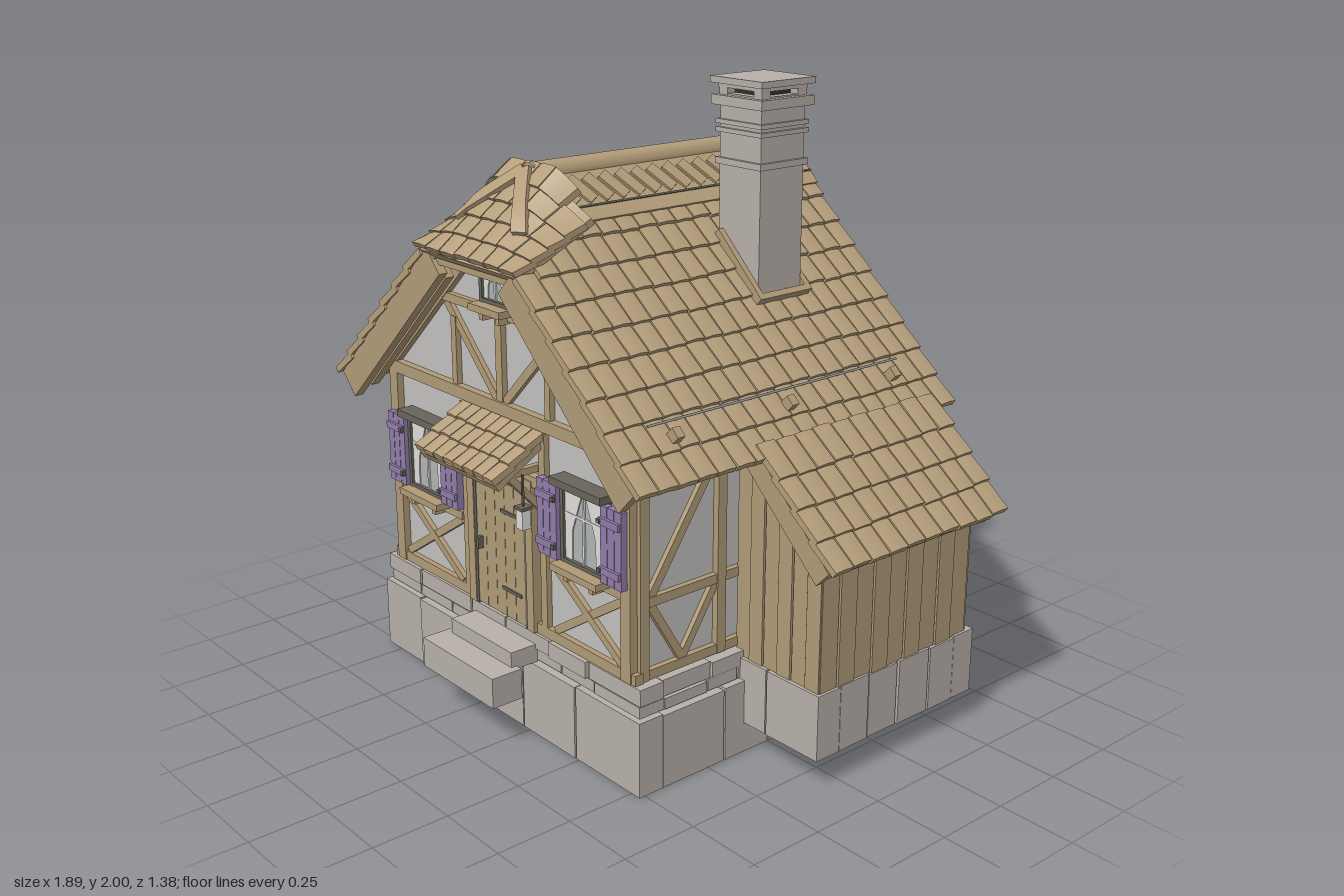
import * as THREE from 'three';
import { mergeGeometries } from 'three/addons/utils/BufferGeometryUtils.js';

const mat = (name, color) => Object.assign(new THREE.MeshStandardMaterial({ color }), { name });
const M = {
  stone: mat('stone', 0xb7b0aa), plaster: mat('plaster', 0xc2c0be), wood: mat('timber', 0xb09a77),
  tile: mat('roofTile', 0xb59e7b), purple: mat('shutterPaint', 0x917ca9), trim: mat('darkTrim', 0x67655a),
  glass: mat('glass', 0xb0b4b5), curtain: mat('curtain', 0xdedddb), dark: mat('shadowGap', 0x33302b),
  iron: mat('iron', 0x9a9a9a),
};
let seed = 7;
const rnd = () => (seed = (seed * 16807) % 2147483647) / 2147483647;
const CX = -0.145, RIDGE = 1.71, SLOPE = 0.955, PITCH = Math.atan(SLOPE), LEN = 1.065;

function add(parent, name, material, geo, x = 0, y = 0, z = 0) {
  const m = new THREE.Mesh(geo, material);
  m.name = name;
  m.position.set(x, y, z);
  parent.add(m);
  return m;
}
const box = (p, name, m, w, h, d, x, y, z) => add(p, name, m, new THREE.BoxGeometry(w, h, d), x, y, z);
// box given by its limits
const span = (p, name, m, x0, x1, y0, y1, z0, z1) =>
  box(p, name, m, x1 - x0, y1 - y0, z1 - z0, (x0 + x1) / 2, (y0 + y1) / 2, (z0 + z1) / 2);
function group(parent, name, x = 0, y = 0, z = 0, yaw = 0, pitch = 0) {
  const g = new THREE.Group();
  g.name = name;
  g.position.set(x, y, z);
  g.rotation.set(pitch, yaw, 0, 'YXZ');
  parent.add(g);
  return g;
}
const polygon = (pts, depth) => new THREE.ExtrudeGeometry(
  new THREE.Shape(pts.map(p => new THREE.Vector2(...p))), { depth, bevelEnabled: false });

// overlapping, crowned tiles on a plane: x across, z down the slope
function tileField(u0, u1, v0, v1, cols, rows, keep = () => true) {
  const w = (u1 - u0) / cols, p = (v1 - v0) / rows, l = p * 1.2, list = [];
  for (let r = 0; r < rows; r++) for (let c = 0; c < cols; c++) {
    const u = u0 + (c + 0.5) * w, v = v0 + (r + 1) * p - l / 2;
    if (!keep(u, v)) continue;
    const g = new THREE.BoxGeometry(w * 0.94, 0.022, l, 2, 1, 1), a = g.attributes.position;
    for (let i = 0; i < a.count; i++) if (Math.abs(a.getX(i)) < 0.001) a.setY(i, a.getY(i) + 0.004);
    g.rotateX(-0.09 - rnd() * 0.05);
    g.translate(u, 0.015, v + (rnd() - 0.5) * 0.006);
    g.computeVertexNormals();
    list.push(g);
  }
  return mergeGeometries(list);
}

// timber between two points of a wall
function strut(p, u1, y1, u2, y2, w = 0.032, name = 'timber', d = 0.03) {
  const m = box(p, name, M.wood, Math.hypot(u2 - u1, y2 - y1), w, d, (u1 + u2) / 2, (y1 + y2) / 2, 0.004);
  m.rotation.z = Math.atan2(y2 - y1, u2 - u1);
}
function curvedBrace(p, u1, y1, cu, cy, u2, y2) {
  const V = (x, y) => new THREE.Vector2(x, y);
  const pts = new THREE.QuadraticBezierCurve(V(u1, y1), V(cu, cy), V(u2, y2)).getPoints(5);
  for (let i = 0; i < 5; i++) strut(p, pts[i].x, pts[i].y, pts[i + 1].x, pts[i + 1].y, 0.028, 'curvedBrace', 0.024);
}
function cross(p, u0, u1, y0, y1) {
  strut(p, u0, y0, u1, y1, 0.026, 'crossBrace', 0.022);
  strut(p, u0, y1, u1, y0, 0.026, 'crossBrace', 0.026);
}

function windowUnit(p, u, y, w, h, shutters = true) {
  const g = group(p, 'window', u, y, 0.01);
  box(g, 'pane', M.glass, w, h, 0.02, 0, 0, 0);
  for (const s of [-1, 1]) {
    const c = [[s * w / 2, h / 2], [s * w / 2, -h / 2], [s * w * 0.3, -h / 2], [s * w * 0.28, -h * 0.05], [s * 0.006, h / 2]];
    add(g, 'curtain', M.curtain, polygon(c, 0.004), 0, 0, 0.01);
    box(g, 'sideFrame', M.trim, 0.014, h + 0.02, 0.035, s * w / 2, 0, 0.005);
    box(g, 'rail', M.trim, w, 0.012, 0.035, 0, s * h / 2, 0.005);
    box(g, 'sillBracket', M.wood, 0.02, 0.03, 0.04, s * w * 0.32, -h / 2 - 0.042, 0.02);
    if (!shutters) continue;
    const sh = group(g, 'shutter', s * (w / 2 + 0.056), 0, 0.024);
    for (let i = -1; i < 2; i++) box(sh, 'slat', M.purple, 0.03, h + 0.01, 0.024, i * 0.032, 0, 0);
    for (const k of [-1, 1]) {
      box(sh, 'batten', M.purple, 0.088, 0.022, 0.014, 0, k * h * 0.33, 0.015);
      box(sh, 'hinge', M.trim, 0.014, 0.012, 0.012, -s * 0.042, k * h * 0.33, 0.021);
    }
  }
  box(g, 'mullion', M.curtain, 0.008, h, 0.016, 0, 0, 0.008);
  box(g, 'glazingBar', M.curtain, w, 0.008, 0.016, 0, h * 0.15, 0.008);
  box(g, 'lintel', M.trim, w + 0.05, 0.024, 0.06, 0, h / 2 + 0.02, 0.02);
  box(g, 'sill', M.wood, w + 0.03, 0.022, 0.07, 0, -h / 2 - 0.018, 0.025);
}

// rectangular ring of stone blocks
function stoneRing(p, name, x0, x1, z0, z1, y0, y1, nx, nz, skipLeft = false) {
  const t = 0.1, list = [];
  const run = (a0, a1, n, make) => {
    const cuts = [a0];
    for (let i = 1; i < n; i++) cuts.push(a0 + (a1 - a0) * (i + (rnd() - 0.5) * 0.4) / n);
    cuts.push(a1);
    for (let i = 0; i < n; i++) make(cuts[i] + 0.003, cuts[i + 1] - 0.003, rnd() * 0.012, y1 - rnd() * 0.008);
  };
  const block = (a, b, c, d, top) => {
    const g = new THREE.BoxGeometry(b - a, top - y0, d - c);
    g.translate((a + b) / 2, (y0 + top) / 2, (c + d) / 2);
    list.push(g);
  };
  run(x0, x1, nx, (a, b, j, top) => block(a, b, z1 - t, z1 - j, top));
  run(x0, x1, nx, (a, b, j, top) => block(a, b, z0 + j, z0 + t, top));
  run(z0 + t, z1 - t, nz, (a, b, j, top) => block(x1 - t, x1 - j, a, b, top));
  if (!skipLeft) run(z0 + t, z1 - t, nz, (a, b, j, top) => block(x0 + j, x0 + t, a, b, top));
  add(p, name, M.stone, mergeGeometries(list));
}

function gableTimbers(g, c) {
  strut(g, c - 0.64, 1.03, c + 0.64, 1.03, 0.04, 'tieBeam', 0.045);
  strut(g, c - 0.64, 0.355, c + 0.64, 0.355, 0.035, 'soleBeam');
  strut(g, c - 0.34, 1.325, c + 0.34, 1.325, 0.028, 'collarBeam');
  strut(g, c, 1.04, c, 1.34, 0.032, 'kingPost');
  for (const s of [-1, 1]) {
    strut(g, c + s * 0.6, 0.34, c + s * 0.6, 1.02, 0.045, 'cornerPost', 0.04);
    strut(g, c + s * 0.63, 1.03, c + s * 0.1, 1.53, 0.045, 'rafter', 0.036);
    curvedBrace(g, c + s * 0.02, 1.05, c + s * 0.17, 1.2, c + s * 0.28, 1.31);
    strut(g, c + s * 0.24, 1.04, c + s * 0.24, 1.27, 0.026, 'gableStud');
  }
}

function roofSide(root, s) {
  // s = 1 slopes towards +x, s = -1 towards -x
  const g = group(root, s > 0 ? 'leftRoofSlope' : 'rightRoofSlope', CX, RIDGE, 0, s * Math.PI / 2, PITCH);
  const U = z => -s * z;
  const slab = polygon([[U(-0.68), 0], [U(-0.68), LEN - 0.02], [U(0.6), LEN - 0.02], [U(0.6), 0.308], [U(0.37), 0]], 0.04);
  slab.rotateX(Math.PI / 2);
  add(g, 'roofBoards', M.wood, slab);
  const ends = [U(-0.69), U(0.61)].sort((a, b) => a - b);
  const keep = (u, v) => v > 0.3 || U(u) < 0.35 + v * 0.75;
  add(g, 'roofTiles', M.tile, tileField(ends[0], ends[1], 0.14, LEN, 18, 9, keep));
  box(g, 'frontBargeBoard', M.wood, 0.03, 0.1, LEN - 0.32, U(0.585), -0.045, (LEN + 0.28) / 2);
  box(g, 'backBargeBoard', M.wood, 0.03, 0.1, LEN - 0.03, U(-0.665), -0.045, (LEN - 0.03) / 2);
  box(g, 'frontInnerRafter', M.wood, 0.03, 0.06, LEN - 0.41, U(0.54), -0.06, (LEN + 0.27) / 2);
  box(g, 'backInnerRafter', M.wood, 0.03, 0.06, LEN - 0.12, U(-0.62), -0.06, LEN / 2);
  // ridge covering with slanted strips
  box(g, 'ridgeBoard', M.tile, 1.05, 0.022, 0.185, U(-0.165), 0.026, 0.1);
  box(g, 'ridgeEdge', M.trim, 1.05, 0.006, 0.006, U(-0.165), 0.038, 0.142);
  for (let i = 0; i < 16; i++)
    box(g, 'ridgeStrip', M.tile, 0.042, 0.01, 0.1, U(-0.64 + i * 0.063), 0.04, 0.082).rotation.y = s * 0.5;
  // snow guard
  const bar = add(g, 'snowRail', M.iron, new THREE.CylinderGeometry(0.004, 0.004, 1.02, 6), U(-0.04), 0.038, 0.875);
  bar.rotation.z = Math.PI / 2;
  for (const z of [-0.49, -0.045, 0.4]) box(g, 'snowRailBlock', M.wood, 0.028, 0.035, 0.035, U(z), 0.045, 0.925);
}

function hip(root) {
  // half hip: tiles bent down at both sides
  const bend = geo => {
    const a = geo.attributes.position;
    for (let i = 0; i < a.count; i++) {
      const u = a.getX(i), n = a.getY(i), v = -a.getZ(i) / 0.41;
      const side = v * Math.max(0, Math.abs(u) - 0.12);
      a.setXYZ(i, CX + u, 1.495 + 0.245 * v - side * 0.8 + n * 0.7, 0.605 - 0.255 * v - side * 0.35 + n * 0.65);
    }
    geo.computeVertexNormals();
    return geo;
  };
  const g = group(root, 'frontHip');
  add(g, 'hipTiles', M.tile, bend(tileField(-0.262, 0.262, -0.41, 0, 7, 5, (u, v) => !(Math.abs(u) > 0.2 && v < -0.33))));
  const base = new THREE.BoxGeometry(0.49, 0.025, 0.38, 8, 1, 4);
  base.translate(0, -0.01, -0.19);
  add(g, 'hipBoards', M.wood, bend(base));
  // slanted cover strips running down from the ridge
  for (const s of [-1, 1]) {
    const strip = new THREE.BoxGeometry(0.28, 0.018, 0.05, 6, 1, 1);
    strip.rotateY(-s * 0.96);
    strip.translate(s * 0.08, 0.033, -0.27);
    add(g, 'hipCoverStrip', M.tile, bend(strip));
  }
  box(g, 'hipFascia', M.wood, 0.48, 0.035, 0.03, CX, 1.475, 0.57);
}

function annex(root) {
  const g = group(root, 'sideShed');
  stoneRing(g, 'shedFoundation', 0.45, 0.85, -0.6, 0.11, 0.1, 0.315, 2, 4, true);
  add(g, 'shedCore', M.dark, polygon([[0.46, 0.3], [0.825, 0.3], [0.825, 0.72], [0.46, 1.07]], 0.62), 0, 0, -0.545);
  for (let i = 0; i < 6; i++) {
    const x0 = 0.485 + i * 0.059, x1 = x0 + 0.055, top = x => 1.075 - (x - 0.46) * SLOPE;
    const plank = polygon([[x0, 0.31], [x1, 0.31], [x1, top(x1)], [x0, top(x0)]], 0.02);
    add(g, 'frontPlank', M.wood, plank, 0, 0, 0.07 + (i % 2) * 0.004);
    add(g, 'backPlank', M.wood, plank, 0, 0, -0.56 - (i % 2) * 0.004);
  }
  for (let i = 0; i < 9; i++) {
    const z = -0.555 + i * 0.072;
    span(g, 'sidePlank', M.wood, 0.82, 0.838 + (i % 2) * 0.004, 0.31, 0.725, z, z + 0.068);
  }
  // shed roof continues the main slope
  const roof = group(g, 'shedRoof', 0.56, 1.06, -0.23, Math.PI / 2, PITCH);
  box(roof, 'shedRoofBoards', M.wood, 0.74, 0.045, 0.47, 0, -0.023, 0.245);
  add(roof, 'shedTiles', M.tile, tileField(-0.38, 0.38, 0.08, 0.495, 10, 4));
  for (const s of [-1, 1]) box(roof, 'shedBargeBoard', M.wood, 0.025, 0.07, 0.48, s * 0.36, -0.035, 0.24);
}

function chimney(root) {
  const g = group(root, 'chimney', 0.188, 0, -0.265);
  span(g, 'shaft', M.stone, -0.09, 0.09, 1.2, 1.95, -0.09, 0.09);
  for (const [y, h, w] of [[1.745, 0.02, 0.2], [1.84, 0.014, 0.2], [1.865, 0.014, 0.2], [1.93, 0.03, 0.22], [1.99, 0.02, 0.225]])
    box(g, 'chimneyBand', M.stone, w, h, w, 0, y, 0);
  box(g, 'smokeGap', M.dark, 0.12, 0.05, 0.12, 0, 1.96, 0);
  box(g, 'capCollar', M.stone, 0.19, 0.014, 0.19, 0, 1.974, 0);
  for (const a of [-1, 1]) for (const b of [-1, 1]) box(g, 'capPost', M.stone, 0.035, 0.05, 0.035, a * 0.075, 1.96, b * 0.075);
  // flashing laid on the roof around the shaft
  const f = group(g, 'flashing', 0, RIDGE - (0.188 - CX) * SLOPE, 0, Math.PI / 2, PITCH);
  for (const s of [-1, 1]) {
    box(f, 'flashingSide', M.wood, 0.02, 0.03, 0.27, s * 0.1, 0.04, -0.015);
    box(f, 'flashingEnd', M.wood, 0.22, 0.03, 0.02, 0, 0.04, s * 0.125 - 0.015);
  }
}

function entrance(f) {
  const g = group(f, 'entrance', -0.15, 0, 0);
  span(g, 'doorRecess', M.dark, -0.135, 0.135, 0.34, 0.81, 0, 0.014);
  for (let i = 0; i < 5; i++) span(g, 'doorPlank', M.wood, -0.126 + i * 0.0505, -0.077 + i * 0.0505, 0.345, 0.793, 0.01, 0.028);
  for (const y of [0.44, 0.7]) box(g, 'doorHinge', M.trim, 0.1, 0.01, 0.008, 0.06, y, 0.03);
  box(g, 'doorHandle', M.trim, 0.012, 0.04, 0.025, -0.1, 0.56, 0.035);
  box(g, 'doorLintel', M.trim, 0.27, 0.014, 0.04, 0, 0.805, 0.015);
  box(g, 'doorHeader', M.wood, 0.4, 0.035, 0.04, 0, 0.84, 0.01);
  for (const s of [-1, 1]) {
    box(g, 'doorPost', M.wood, 0.035, 0.5, 0.045, s * 0.155, 0.59, 0.01);
    box(g, 'doorJamb', M.trim, 0.012, 0.46, 0.04, s * 0.132, 0.57, 0.01);
    const b = box(g, 'porchBracket', M.wood, 0.022, 0.2, 0.022, s * 0.18, 0.82, 0.065);
    b.rotation.x = 0.75;
    box(g, 'porchArm', M.wood, 0.022, 0.022, 0.16, s * 0.18, 0.885, 0.075);
  }
  const p = group(g, 'porchRoof', 0.01, 0.985, 0.005, 0, 0.55);
  box(p, 'porchBoards', M.wood, 0.4, 0.022, 0.205, 0, -0.012, 0.11);
  add(p, 'porchTiles', M.tile, tileField(-0.21, 0.21, 0, 0.215, 8, 3));
  const l = group(g, 'lantern', 0.205, 0.745, 0.085);
  box(l, 'lanternBody', M.curtain, 0.032, 0.06, 0.032, 0, 0, 0);
  box(l, 'lanternCap', M.trim, 0.04, 0.01, 0.04, 0, 0.036, 0);
  box(l, 'lanternHook', M.trim, 0.006, 0.1, 0.006, 0, 0.09, 0);
}

export function createModel() {
  const root = new THREE.Group();
  root.name = 'cottage';
  // foundation and steps
  stoneRing(root, 'foundation', -0.83, 0.54, -0.61, 0.53, 0, 0.245, 5, 4);
  stoneRing(root, 'lowerCourse', -0.81, 0.52, -0.59, 0.51, 0.245, 0.285, 7, 6);
  stoneRing(root, 'upperCourse', -0.815, 0.525, -0.595, 0.515, 0.285, 0.34, 6, 5);
  span(root, 'floorUnderside', M.dark, -0.74, 0.45, 0.29, 0.32, -0.52, 0.44);
  span(root, 'shedFloorUnderside', M.dark, 0.54, 0.78, 0.28, 0.31, -0.52, 0.03);
  span(root, 'lowerStep', M.stone, -0.335, 0.045, 0.15, 0.25, 0.58, 0.69);
  span(root, 'upperStep', M.stone, -0.305, 0.02, 0.24, 0.3, 0.5, 0.6);
  // plastered body, with the front gable trimmed below the hip
  const body = (top, depth, z) => {
    const k = (1.61 - top) / 0.93;
    add(root, 'plasterWalls', M.plaster, polygon([[CX - 0.615, 0.32], [CX + 0.615, 0.32], [CX + 0.615, 1.04],
      [CX + k, top], [CX - k, top], [CX - 0.615, 1.04]], depth), 0, 0, z);
  };
  body(1.605, 0.94, -0.56);
  body(1.53, 0.1, 0.38);

  const front = group(root, 'frontWall', 0, 0, 0.48);
  gableTimbers(front, CX);
  for (const u of [-0.555, 0.268]) {
    windowUnit(front, u, 0.755, 0.19, 0.23);
    strut(front, u - 0.18, 0.605, u + 0.18, 0.605, 0.028, 'midRail');
    cross(front, u - 0.16, u + 0.17, 0.375, 0.59);
  }
  for (const u of [-0.35, 0.06]) strut(front, u, 0.35, u, 1.0, 0.03, 'stud');
  windowUnit(front, CX, 1.41, 0.13, 0.1, false);
  entrance(front);

  const back = group(root, 'backWall', 0, 0, -0.56, Math.PI);
  gableTimbers(back, -CX);
  windowUnit(back, -CX, 0.755, 0.17, 0.23);
  strut(back, -CX - 0.6, 0.6, -CX + 0.6, 0.6, 0.03, 'midRail');
  for (const s of [-1, 1]) {
    const c = -CX;
    strut(back, c + s * 0.24, 0.35, c + s * 0.24, 1.0, 0.03, 'stud');
    strut(back, c + s * 0.27, 0.62, c + s * 0.57, 0.98, 0.028, 'diagonalBrace', 0.024);
    strut(back, c + s * 0.27, 0.58, c + s * 0.57, 0.37, 0.028, 'diagonalBrace', 0.024);
  }

  const sides = [group(root, 'rightWall', -0.76, 0, 0, -Math.PI / 2), group(root, 'leftWall', 0.47, 0, 0, Math.PI / 2)];
  sides.forEach((g, i) => {
    const s = i ? -1 : 1, a = s * -0.54, b = s * 0.46;
    for (const y of [0.355, 0.585, 1.0]) strut(g, a, y, b, y, 0.03, 'sideRail');
    for (const z of [-0.54, -0.27, 0.16, 0.46]) strut(g, s * z, 0.34, s * z, 1.01, 0.034, 'sidePost', 0.036);
    strut(g, s * 0.43, 0.6, s * 0.18, 0.97, 0.028, 'diagonalBrace', 0.024);
    strut(g, s * 0.43, 0.57, s * 0.31, 0.37, 0.026, 'diagonalBrace', 0.024);
    strut(g, s * 0.18, 0.57, s * 0.31, 0.37, 0.026, 'diagonalBrace', 0.024);
    strut(g, s * -0.52, 0.6, s * -0.29, 0.97, 0.028, 'diagonalBrace', 0.024);
    strut(g, s * -0.52, 0.57, s * -0.29, 0.37, 0.026, 'diagonalBrace', 0.024);
  });
  windowUnit(sides[0], -0.055, 0.755, 0.19, 0.23);
  cross(sides[0], -0.25, 0.14, 0.375, 0.57);

  for (const s of [-1, 1]) roofSide(root, s);
  const ridge = add(root, 'ridgeRoll', M.tile, new THREE.CylinderGeometry(0.04, 0.04, 1.06, 10), CX, 1.727, -0.16);
  ridge.rotation.x = Math.PI / 2;
  hip(root);
  annex(root);
  chimney(root);
  return root;
}
